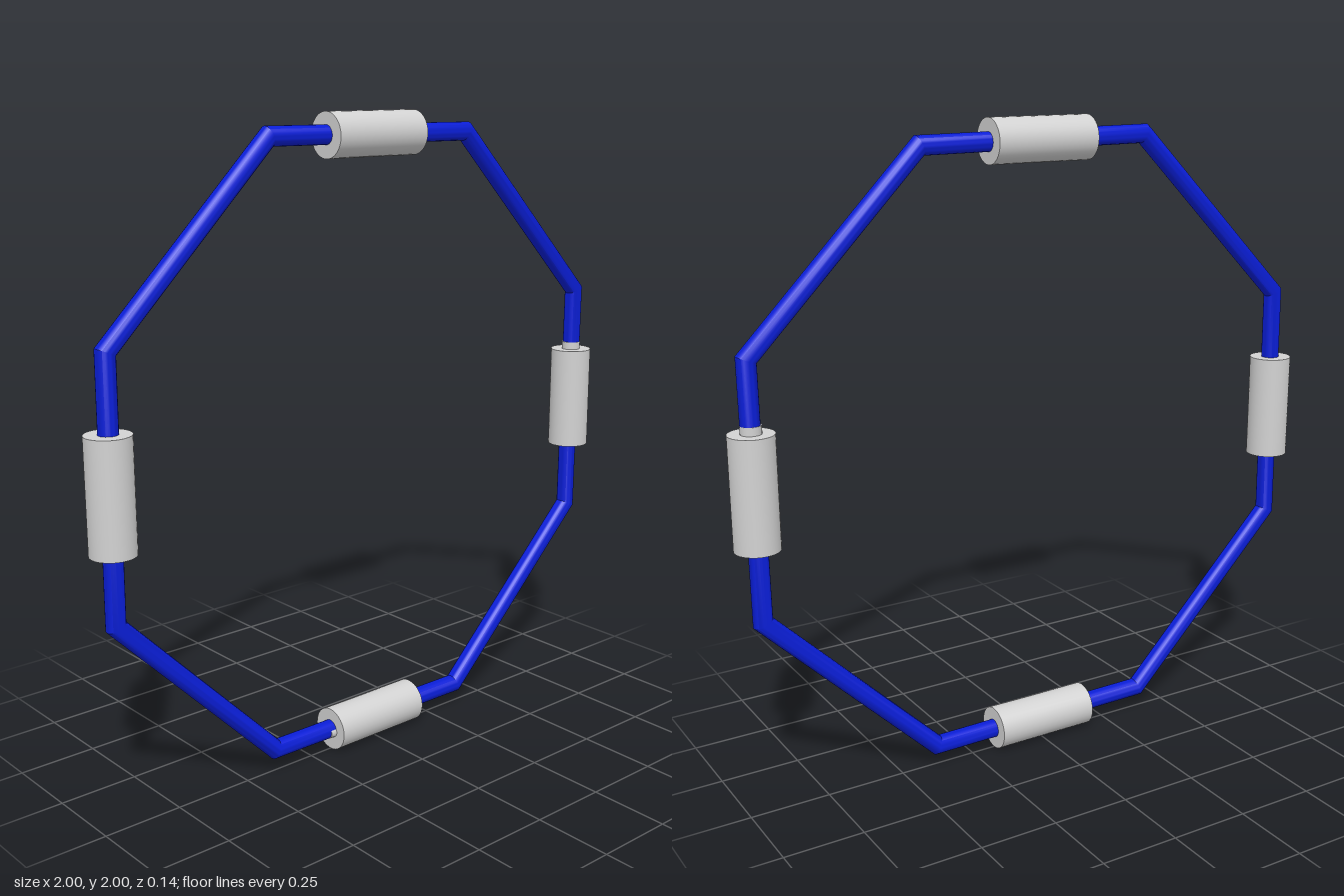
import * as THREE from 'three';
import { toCreasedNormals } from 'three/addons/utils/BufferGeometryUtils.js';

export function createModel() {
  const group = new THREE.Group();
  const blue = new THREE.MeshStandardMaterial({ name: 'blue', color: 0x0a1ed8 });
  const grey = new THREE.MeshStandardMaterial({ name: 'light grey', color: 0xd2d2d2 });

  const apothem = 0.932, tubeRadius = 0.029;
  const sleeveRadius = 0.068, sleeveLength = 0.34;
  const miter = Math.cos(Math.PI / 8);
  const cornerRadius = apothem / miter;

  function add(name, geometry, material, parent) {
    const mesh = new THREE.Mesh(geometry, material);
    mesh.name = name;
    parent.add(mesh);
    return mesh;
  }

  // Octagonal ring: an eight-sided torus, widened at the corners for true mitred joints
  const ringGeometry = new THREE.TorusGeometry(cornerRadius, tubeRadius, 24, 8);
  const p = ringGeometry.attributes.position;
  for (let i = 0; i < p.count; i++) {
    const r = Math.hypot(p.getX(i), p.getY(i));
    const k = (cornerRadius + (r - cornerRadius) / miter) / r;
    p.setXY(i, p.getX(i) * k, p.getY(i) * k);
  }
  const ring = add('ring', toCreasedNormals(ringGeometry, 0.6), blue, group);
  ring.position.y = 1;
  ring.rotation.z = Math.PI / 8 - 0.008;

  // Four sleeves threaded on the upright and level sides
  const sleeveGeometry = new THREE.CylinderGeometry(sleeveRadius, sleeveRadius, sleeveLength, 32);
  const names = ['leftSleeve', 'topSleeve', 'rightSleeve', 'bottomSleeve'];
  names.forEach((name, i) => {
    const a = i * Math.PI / 2;
    const sleeve = add(name, sleeveGeometry, grey, group);
    sleeve.position.set(apothem * Math.cos(a), 1 + apothem * Math.sin(a), 0);
    sleeve.rotation.z = i % 2 ? Math.PI / 2 : 0;
  });

  // Small collars showing at two sleeve ends
  const collarGeometry = new THREE.CylinderGeometry(0.031, 0.031, 0.03, 20);
  add('leftCollar', collarGeometry, grey, group).position.set(apothem, 1.18, 0);
  const lower = add('bottomCollar', new THREE.CylinderGeometry(0.02, 0.02, 0.03, 16), grey, group);
  lower.position.set(-0.175, 1 - apothem - 0.003, 0.012);
  lower.rotation.z = Math.PI / 2;

  return group;
}
